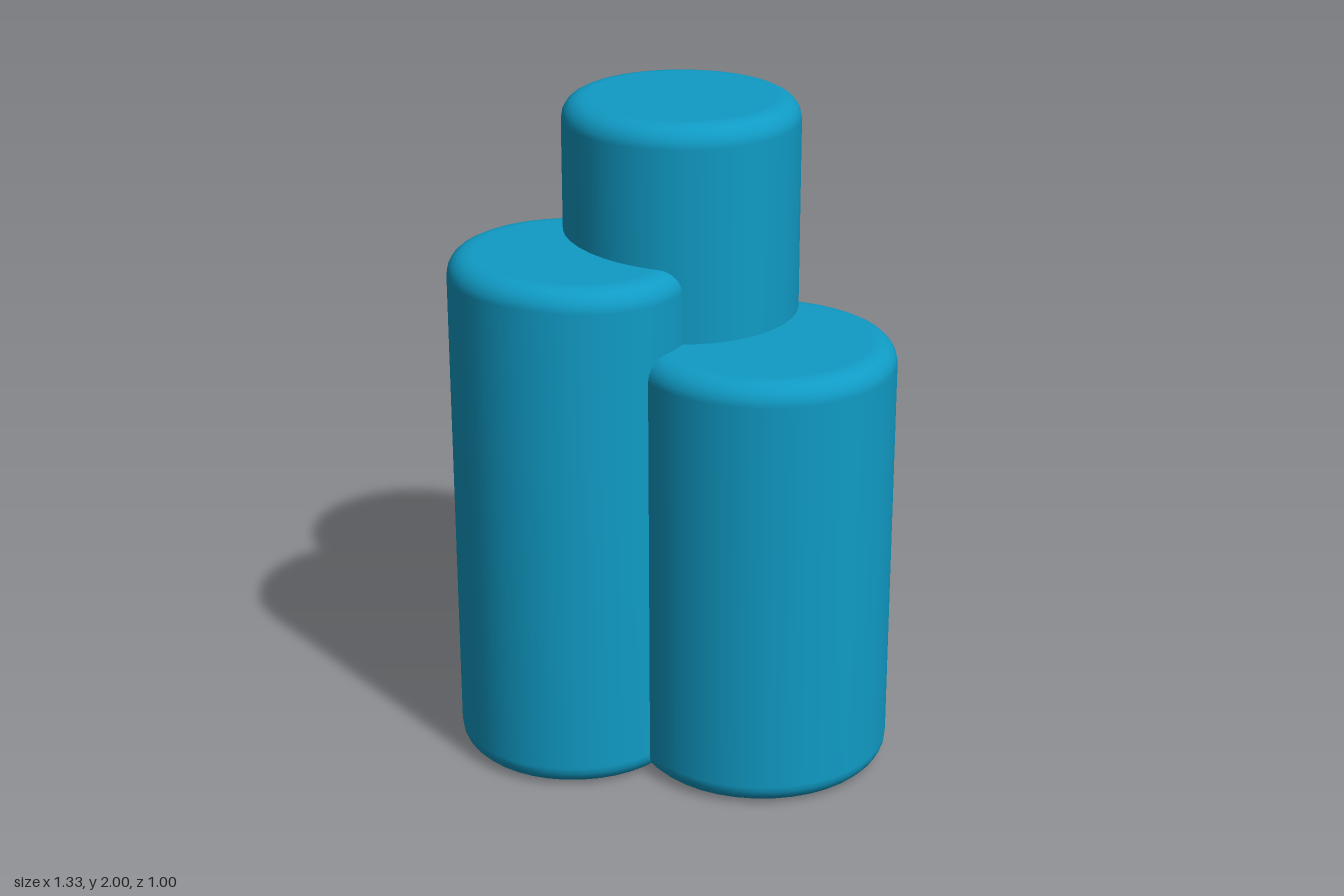
import * as THREE from 'three';

const SEGMENTS = 40;
const BEVEL = 0.065;

// Upright cylinder with softly rounded top and bottom rims
function roundedColumn(radius, height) {
  const points = [new THREE.Vector2(0, 0), new THREE.Vector2(radius - BEVEL - 0.01, 0)];
  const steps = 5;
  const inner = radius - BEVEL;
  for (let i = 0; i <= steps; i++) {
    const a = -Math.PI / 2 + (i / steps) * Math.PI / 2;
    points.push(new THREE.Vector2(inner + BEVEL * Math.cos(a), BEVEL + BEVEL * Math.sin(a)));
  }
  for (let i = 0; i <= steps; i++) {
    const a = (i / steps) * Math.PI / 2;
    points.push(new THREE.Vector2(inner + BEVEL * Math.cos(a), height - BEVEL + BEVEL * Math.sin(a)));
  }
  points.push(new THREE.Vector2(inner - 0.01, height), new THREE.Vector2(0, height));
  return new THREE.LatheGeometry(points, SEGMENTS);
}

// Let the top sag gently towards +x
function slopeTop(geometry, height, slope) {
  const p = geometry.attributes.position;
  for (let i = 0; i < p.count; i++) {
    if (p.getY(i) > height / 2) p.setY(i, p.getY(i) - slope * Math.max(0, p.getX(i) + 0.05));
  }
  return geometry;
}

export function createModel() {
  const group = new THREE.Group();
  group.name = 'columnCluster';
  const blue = new THREE.MeshStandardMaterial({ color: 0x109bc5 });
  blue.name = 'blue';

  const columns = [
    { name: 'tallColumn', x: -0.034, z: -0.148, radius: 0.356, height: 2, slope: 0 },
    { name: 'middleColumn', x: -0.307, z: 0.144, radius: 0.357, height: 1.597, slope: 0.06 },
    { name: 'shortColumn', x: 0.27, z: 0.093, radius: 0.391, height: 1.35, slope: 0 },
  ];
  for (const c of columns) {
    const geometry = slopeTop(roundedColumn(c.radius, c.height), c.height, c.slope);
    const mesh = new THREE.Mesh(geometry, blue);
    mesh.name = c.name;
    mesh.position.set(c.x, 0, c.z);
    group.add(mesh);
  }
  return group;
}
